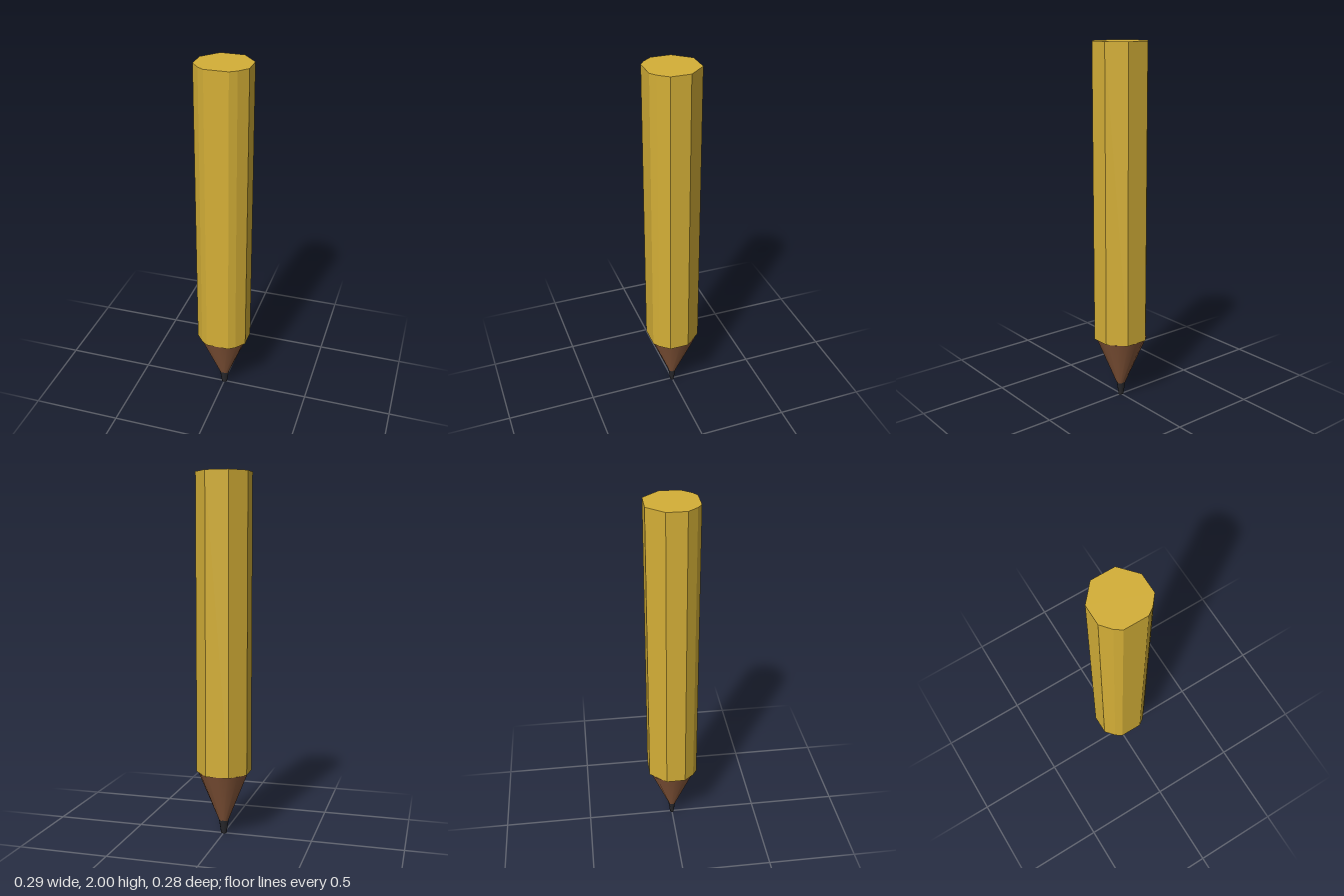
import * as THREE from 'three';

const paint = (color) => new THREE.MeshStandardMaterial({ color });

function addPart(group, name, geometry, color) {
  const mesh = new THREE.Mesh(geometry, paint(color));
  mesh.name = name;
  group.add(mesh);
}

// Tapered cone section with an elliptical outline, slightly fuller on the diagonals
function taper(y0, y1, bottom, top, sides, bulge) {
  const g = new THREE.CylinderGeometry(1, 1, y1 - y0, sides, 1);
  g.translate(0, (y0 + y1) / 2, 0);
  const p = g.attributes.position;
  const mid = (y0 + y1) / 2;
  for (let i = 0; i < p.count; i++) {
    const x = p.getX(i), z = p.getZ(i);
    const [rx, rz] = p.getY(i) > mid ? top : bottom;
    const k = 1 + bulge * (2 * x * z) ** 2;
    p.setX(i, x * rx * k);
    p.setZ(i, z * rz * k);
  }
  // tilt the side normals to follow the slope
  const n = g.attributes.normal;
  const slope = (bottom[0] - top[0]) / (y1 - y0);
  for (let i = 0; i < n.count; i++) {
    if (Math.abs(n.getY(i)) > 0.5) continue;
    const v = new THREE.Vector3(n.getX(i), slope, n.getZ(i)).normalize();
    n.setXYZ(i, v.x, v.y, v.z);
  }
  return g;
}

export function createModel() {
  const pencil = new THREE.Group();
  pencil.name = 'pencil';

  // Faceted barrel: half outline (x, z) from front to back, mirrored across x
  const half = [[0.064, 0.137], [0.1, 0.112], [0.144, 0.059], [0.144, -0.048], [0.064, -0.139]];
  const outline = [...half, ...half.map(([x, z]) => [-x, z]).reverse()];
  const shape = new THREE.Shape(outline.map(([x, z]) => new THREE.Vector2(x, -z)));
  const barrel = new THREE.ExtrudeGeometry(shape, { depth: 1.64, bevelEnabled: false });
  barrel.rotateX(-Math.PI / 2);
  barrel.translate(0, 0.36, 0);
  addPart(pencil, 'barrel', barrel, 0xd4af37);

  // Sharpened wood cone
  addPart(pencil, 'woodCone', taper(0.075, 0.36, [0.026, 0.02], [0.139, 0.136], 16, 0.06), 0x8b5a3c);

  // Blunt graphite tip
  addPart(pencil, 'graphiteTip', taper(0, 0.08, [0.016, 0.011], [0.029, 0.022], 8, 0), 0x2a2a2e);

  return pencil;
}
